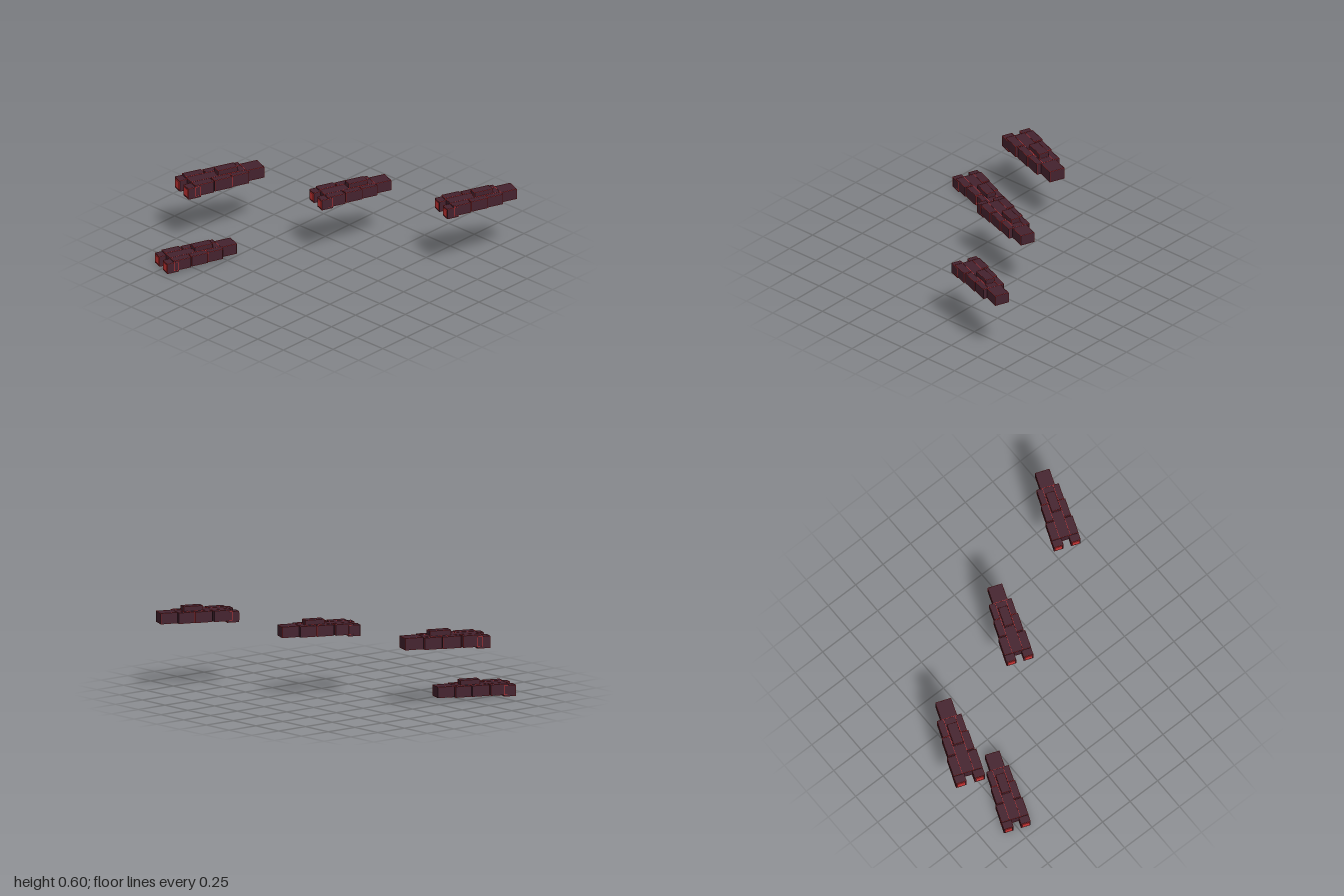
import * as THREE from 'three';
import { mergeGeometries } from 'three/addons/utils/BufferGeometryUtils.js';

const hull = new THREE.MeshStandardMaterial({ color: 0x44222e });
hull.name = 'dark maroon hull';
const glow = new THREE.MeshStandardMaterial({ color: 0xcc3535 });
glow.name = 'red glow';

// Box given by its min and max on each axis
function boxGeometry([x0, x1], [y0, y1], [z0, z1]) {
  return new THREE.BoxGeometry(x1 - x0, y1 - y0, z1 - z0)
    .translate((x0 + x1) / 2, (y0 + y1) / 2, (z0 + z1) / 2);
}

// Hairline strips along the twelve edges of a box
function edgeStrips(x, y, z) {
  const h = 0.0012;
  const around = (v) => [v - h, v + h];
  const strips = [];
  for (const i of [0, 1]) {
    for (const j of [0, 1]) {
      strips.push(boxGeometry(x, around(y[i]), around(z[j])));
      strips.push(boxGeometry(around(x[i]), y, around(z[j])));
      strips.push(boxGeometry(around(x[i]), around(y[j]), z));
    }
  }
  return mergeGeometries(strips);
}

function addBlock(parent, name, x, y, z) {
  const block = new THREE.Mesh(boxGeometry(x, y, z), hull);
  block.name = name;
  const trim = new THREE.Mesh(edgeStrips(x, y, z), glow);
  trim.name = name + 'EdgeTrim';
  parent.add(block, trim);
}

// One ship: nose towards -z, engines towards +z
function createShip() {
  const ship = new THREE.Group();
  const mid = 0.2875; // half the length
  const along = (a, b) => [a - mid, b - mid];
  const deck = [0.012, 0.089];

  addBlock(ship, 'nose', [-0.053, 0.053], deck, along(0, 0.125));
  addBlock(ship, 'spine', [-0.04, 0.04], [0.013, 0.088], along(0.125, 0.52));
  addBlock(ship, 'bridge', [-0.0325, 0.0325], [0.088, 0.122], along(0.18, 0.322));

  // Stepped side blocks, widening to the tail, with open notches between them
  const sections = [
    [0.125, 0.243, 0.082],
    [0.248, 0.375, 0.09],
    [0.387, 0.52, 0.099],
  ];
  for (const [start, end, half] of sections) {
    addBlock(ship, 'leftHullBlock', [0.04, half], deck, along(start, end));
    addBlock(ship, 'rightHullBlock', [-half, -0.04], deck, along(start, end));
  }

  // Twin engines with glowing exhaust plates
  for (const side of [-1, 1]) {
    const c = side * 0.064;
    const name = side > 0 ? 'leftEngine' : 'rightEngine';
    addBlock(ship, name, [c - 0.035, c + 0.035], [0, 0.077], along(0.485, 0.572));
    const exhaust = new THREE.Mesh(
      boxGeometry([c - 0.028, c + 0.028], [0.011, 0.066], along(0.57, 0.577)), glow);
    exhaust.name = name + 'Exhaust';
    ship.add(exhaust);
  }
  return ship;
}

export function createModel() {
  const fleet = new THREE.Group();
  fleet.name = 'fleet';
  // x, y, z, scale
  const places = [
    ['frontShip', -0.658, 0.001, 0.645, 1],
    ['largeShip', -0.787, 0.417, 0.262, 1.09],
    ['middleShip', 0.048, 0.439, -0.206, 1],
    ['rearShip', 0.845, 0.477, -0.663, 1],
  ];
  for (const [name, x, y, z, scale] of places) {
    const ship = createShip();
    ship.name = name;
    ship.position.set(x, y, z);
    ship.rotation.y = THREE.MathUtils.degToRad(-20.5);
    ship.scale.setScalar(scale);
    fleet.add(ship);
  }
  return fleet;
}
